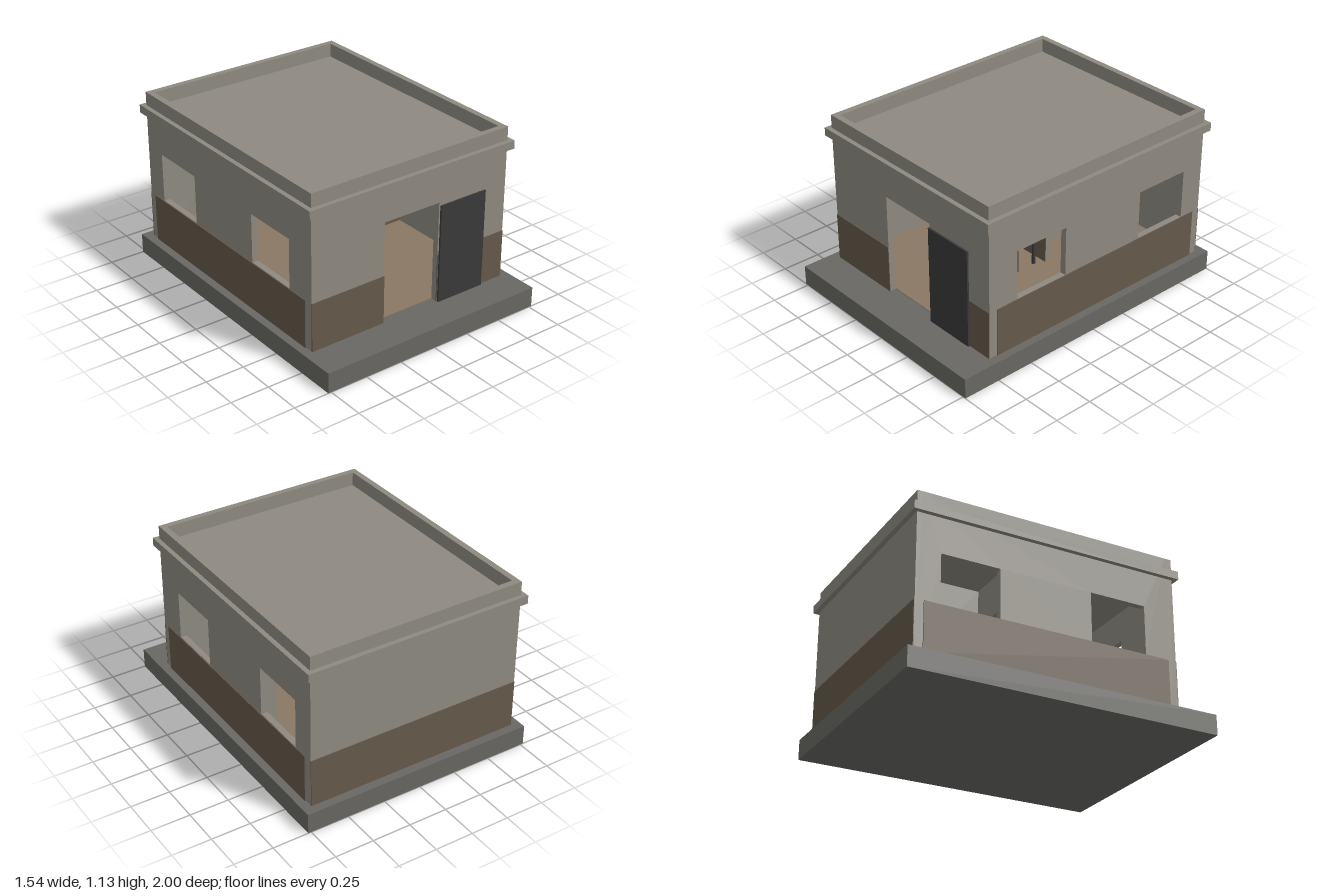
import * as THREE from 'three';

const mat = (color) => new THREE.MeshStandardMaterial({ color, flatShading: true });
const WALL = mat(0x8e8a80), BASE = mat(0x686763), BROWN = mat(0x65594a), FLOOR = mat(0x8a7863);
const DARK = mat(0x3a3a3a), WOOD = mat(0x6b4a30), DRAWER = mat(0x8f7048);

// Main levels and wall limits
const Y0 = 0.13, TOP = 1.13, DADO = 0.443, X = 0.713, BACK = -0.94, FRONT = 0.77, T = 0.04;

export function createModel() {
  const model = new THREE.Group();

  const add = (name, geometry, material, parent = model) => {
    const mesh = new THREE.Mesh(geometry, material);
    mesh.name = name;
    parent.add(mesh);
    return mesh;
  };

  // Box given by its limits on each axis
  const box = (name, material, [x0, x1], [y0, y1], [z0, z1], parent = model) => {
    const mesh = add(name, new THREE.BoxGeometry(x1 - x0, y1 - y0, z1 - z0), material, parent);
    mesh.position.set((x0 + x1) / 2, (y0 + y1) / 2, (z0 + z1) / 2);
    return mesh;
  };

  // Rectangle outline used for shapes and holes
  const rect = (Type, u0, u1, v0, v1) => {
    const p = new Type();
    p.moveTo(u0, v0);
    p.lineTo(u1, v0);
    p.lineTo(u1, v1);
    p.lineTo(u0, v1);
    p.closePath();
    return p;
  };

  // Wall across x, with doorways cut up from the floor
  const wallWithDoors = (u0, u1, top, doors, depth) => {
    const s = new THREE.Shape();
    s.moveTo(u0, Y0);
    for (const [a, b, h] of doors) {
      s.lineTo(a, Y0);
      s.lineTo(a, h);
      s.lineTo(b, h);
      s.lineTo(b, Y0);
    }
    s.lineTo(u1, Y0);
    s.lineTo(u1, top);
    s.lineTo(u0, top);
    s.closePath();
    return new THREE.ExtrudeGeometry(s, { depth, bevelEnabled: false });
  };

  // Plinth and inner floor
  box('plinth', BASE, [-0.77, 0.77], [0, Y0], [-1, 1]);
  box('floor', FLOOR, [-X + T, X - T], [Y0, Y0 + 0.004], [BACK + T, FRONT - T]);

  // Front and back walls
  add('frontWall', wallWithDoors(-X, X, TOP, [[-0.2, 0.2, 0.79]], T), WALL).position.z = FRONT - T;
  box('backWall', WALL, [-X, X], [Y0, TOP], [BACK, BACK + T]);

  // Side walls with two windows each, and their outer dado panels
  for (const side of [-1, 1]) {
    const s = rect(THREE.Shape, -(FRONT - T), -(BACK + T), Y0, TOP);
    for (const [z0, z1] of [[0.19, 0.56], [-0.785, -0.41]]) {
      s.holes.push(rect(THREE.Path, -z1, -z0, DADO, 0.762));
    }
    const g = new THREE.ExtrudeGeometry(s, { depth: T, bevelEnabled: false });
    g.rotateY(Math.PI / 2);
    add('sideWall', g, WALL).position.x = side > 0 ? X - T : -X;
    const x = side * (X + 0.002);
    box('sideDado', BROWN, [x - 0.004, x + 0.004], [Y0, DADO], [-0.885, 0.715]);
    // Front dado beside the doorway
    const xs = [side * 0.2, side * X].sort((a, b) => a - b);
    box('frontDado', BROWN, xs, [Y0, DADO], [FRONT - 0.002, FRONT + 0.004]);
  }
  box('backDado', BROWN, [-X, X], [Y0, DADO], [BACK - 0.004, BACK + 0.002]);

  // Roof slab sunk behind the parapet
  box('roof', WALL, [-X + T, X - T], [0.99, 1.04], [BACK + T, FRONT - T]);

  // Cornice band around the walls
  const band = rect(THREE.Shape, -0.743, 0.743, -0.8, 0.97);
  band.holes.push(rect(THREE.Path, -X, X, -FRONT, -BACK));
  const cornice = new THREE.ExtrudeGeometry(band, { depth: 0.053, bevelEnabled: false });
  cornice.rotateX(-Math.PI / 2);
  add('cornice', cornice, WALL).position.y = 0.99;

  // Inner partition with two doorways, and the wall dividing the back rooms
  const PZ = -0.15;
  const doors = [[-0.48, -0.185, 0.74], [0.185, 0.48, 0.74]];
  add('partition', wallWithDoors(-X + T, X - T, 0.99, doors, T), WALL).position.z = PZ - T;
  box('dividingWall', WALL, [-0.02, 0.02], [Y0, 0.99], [BACK + T, PZ - T]);
  for (const xs of [[-X + T, -0.48], [-0.185, 0.185], [0.48, X - T]]) {
    box('partitionDado', BROWN, xs, [Y0, 0.45], [PZ - 0.002, PZ + 0.004]);
  }

  // Sliding door leaf, pushed open along the front
  box('doorLeaf', DARK, [0.205, 0.545], [Y0, 0.772], [FRONT + 0.005, FRONT + 0.017]);

  // Desk with legs, drawer unit and a small screen
  const desk = new THREE.Group();
  desk.name = 'desk';
  model.add(desk);
  const dz = [-0.1, 0.08];
  box('deskTop', WOOD, [-0.175, 0.172], [0.338, 0.355], dz, desk);
  for (const x of [-0.152, 0.15]) {
    for (const z of [dz[0] + 0.02, dz[1] - 0.02]) {
      box('deskLeg', DARK, [x - 0.008, x + 0.008], [Y0, 0.338], [z - 0.008, z + 0.008], desk);
    }
  }
  box('drawerUnit', DRAWER, [-0.144, -0.045], [0.165, 0.338], [-0.07, 0.06], desk);
  box('screen', DARK, [0.057, 0.17], [0.355, 0.42], [-0.06, 0.0], desk);

  return model;
}
